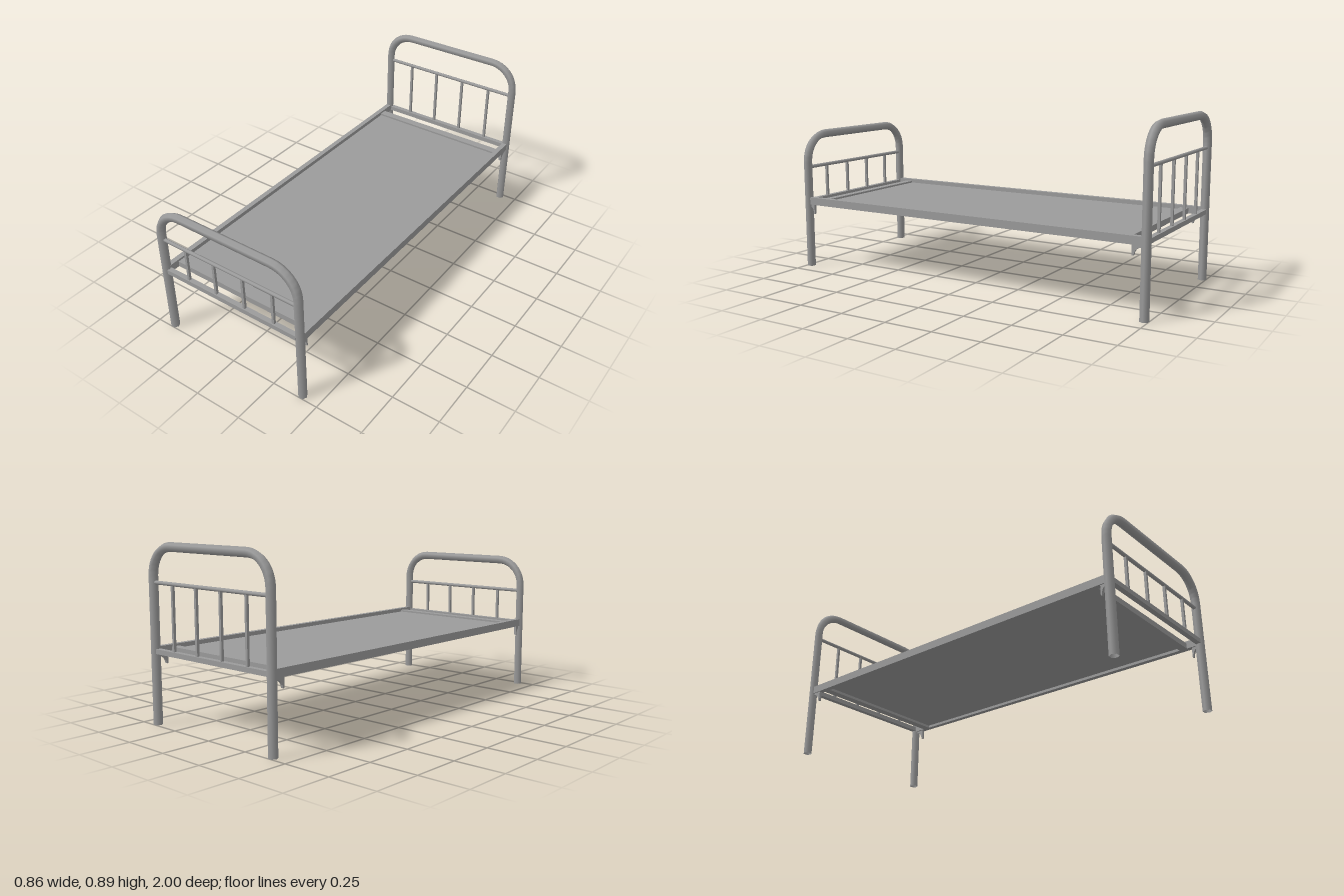
import * as THREE from 'three';

const material = new THREE.MeshStandardMaterial({ color: 0x9b9b9b });
const openMaterial = new THREE.MeshStandardMaterial({ color: 0x9b9b9b, side: THREE.DoubleSide });

const POST_X = 0.4075; // post centre line
const POST_Z = 0.9805;
const TUBE_R = 0.0225;
const BEND_R = 0.14;

function add(parent, name, geometry, x = 0, y = 0, z = 0, mat = material) {
  const mesh = new THREE.Mesh(geometry, mat);
  mesh.name = name;
  mesh.position.set(x, y, z);
  parent.add(mesh);
  return mesh;
}

// Arch centre line, drawn in the yz plane: leg, bend, top, bend, leg
function archPath(top) {
  const points = [new THREE.Vector3(0, 0, -POST_X)];
  const steps = 8;
  for (const side of [-1, 1]) {
    for (let i = 0; i <= steps; i++) {
      const t = (side < 0 ? i : steps - i) / steps * Math.PI / 2;
      points.push(new THREE.Vector3(0,
        top - BEND_R + BEND_R * Math.sin(t),
        side * (POST_X - BEND_R + BEND_R * Math.cos(t))));
    }
  }
  points.push(new THREE.Vector3(0, 0, POST_X));
  const path = new THREE.CurvePath();
  for (let i = 1; i < points.length; i++) path.add(new THREE.LineCurve3(points[i - 1], points[i]));
  return path;
}

// Bent open-ended tube with cross rails and upright bars
function endFrame(name, top, railY, z) {
  const group = new THREE.Group();
  group.name = name;
  group.position.z = z;

  const arch = new THREE.TubeGeometry(archPath(top), 160, TUBE_R, 6, false);
  arch.rotateY(Math.PI / 2);
  add(group, 'archTube', arch, 0, 0, 0, openMaterial);

  const rail = new THREE.CylinderGeometry(0.0095, 0.0095, 0.78, 8);
  rail.rotateZ(Math.PI / 2);
  add(group, 'upperCrossRail', rail, 0, railY, 0);
  add(group, 'lowerCrossRail', new THREE.BoxGeometry(0.78, 0.024, 0.026), 0, 0.363, 0);

  const barHeight = railY - 0.37;
  for (let i = 0; i < 4; i++) {
    add(group, 'uprightBar', new THREE.BoxGeometry(0.013, barHeight, 0.013),
      0.002 + (i - 1.5) * 0.1717, 0.37 + barHeight / 2, 0);
  }
  return group;
}

// Curved gusset below a side rail, from the post out to its tall edge
function bracketGeometry(postZ, edgeZ) {
  const at = (t) => postZ + (edgeZ - postZ) * t;
  const shape = new THREE.Shape();
  shape.moveTo(at(0), 0.346);
  shape.lineTo(at(1), 0.346);
  shape.lineTo(at(1), 0.294);
  shape.lineTo(at(0.85), 0.294);
  shape.quadraticCurveTo(at(0.75), 0.334, at(0), 0.336);
  shape.closePath();
  const geometry = new THREE.ExtrudeGeometry(shape, { depth: 0.014, bevelEnabled: false, curveSegments: 5 });
  geometry.translate(0, 0, -0.007);
  geometry.rotateY(-Math.PI / 2);
  return geometry;
}

export function createModel() {
  const bed = new THREE.Group();
  bed.name = 'bed';

  bed.add(endFrame('headboard', 0.8655, 0.693, -POST_Z));
  bed.add(endFrame('footboard', 0.7225, 0.55, POST_Z));

  // Side rails and their brackets
  for (const side of [-1, 1]) {
    add(bed, 'sideRail', new THREE.BoxGeometry(0.027, 0.04, 1.945), side * 0.4065, 0.365, 0);
    add(bed, 'footBracket', bracketGeometry(0.97, 0.938), side * POST_X, 0, 0);
    add(bed, 'headBracket', bracketGeometry(-0.97, -0.915), side * POST_X, 0, 0);
  }

  // Thin bed base, set between a deeper beam at each end
  add(bed, 'basePanel', new THREE.BoxGeometry(0.79, 0.005, 1.75), 0, 0.3615, 0.01);
  add(bed, 'headBeam', new THREE.BoxGeometry(0.79, 0.029, 0.043), 0, 0.3595, -0.8765);
  add(bed, 'footBeam', new THREE.BoxGeometry(0.79, 0.029, 0.04), 0, 0.3595, 0.895);

  return bed;
}
